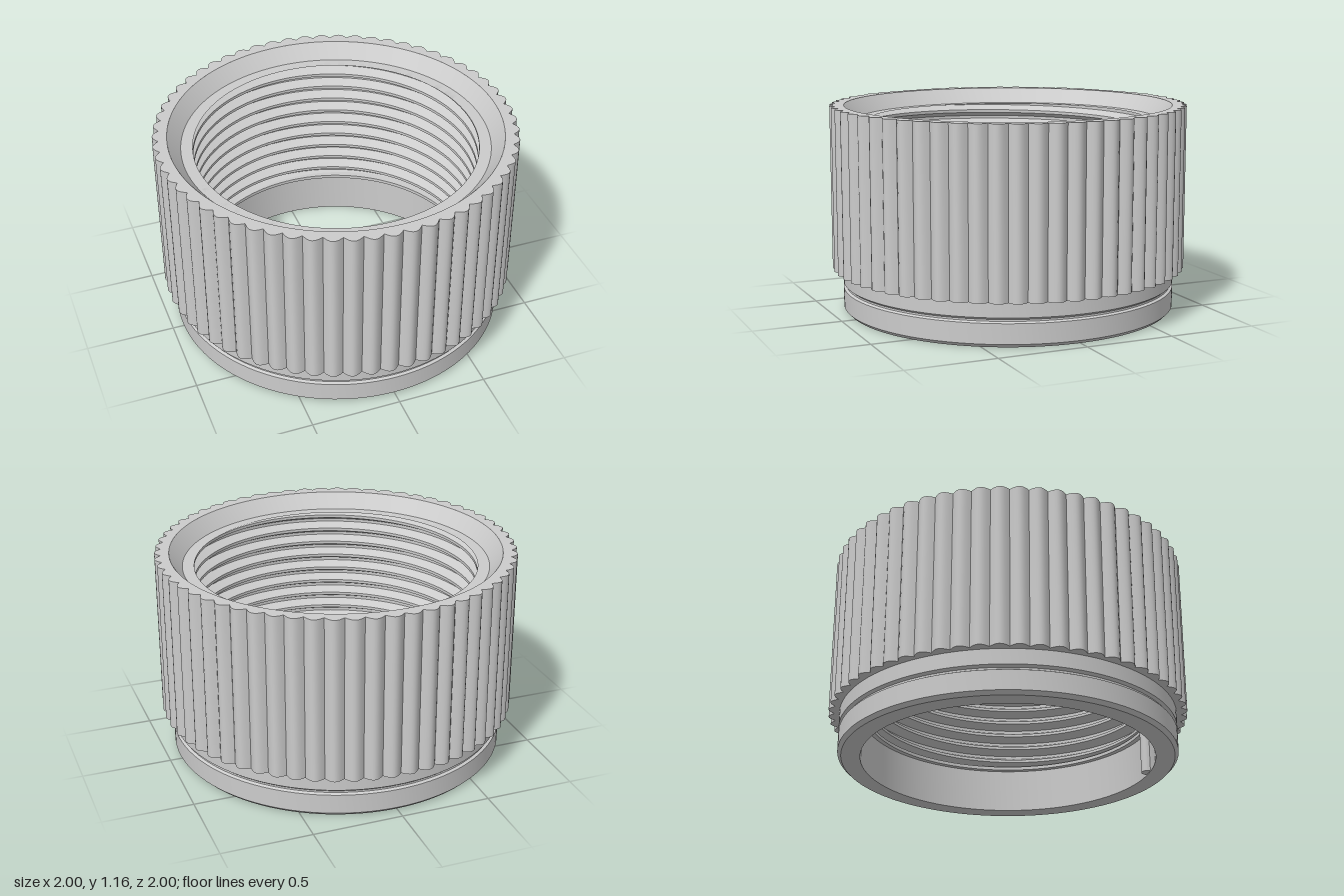
import * as THREE from 'three';
import { toCreasedNormals } from 'three/addons/utils/BufferGeometryUtils.js';

const SEGMENTS = 120;
const material = new THREE.MeshStandardMaterial({ color: 0xcccccc });
const thinMaterial = new THREE.MeshStandardMaterial({ color: 0xcccccc, side: THREE.DoubleSide });

function addPart(group, name, geometry, mat = material) {
  const mesh = new THREE.Mesh(toCreasedNormals(geometry, 0.5), mat);
  mesh.name = name;
  group.add(mesh);
  return mesh;
}

// Turned surface from [radius, height] pairs
function turned(pairs) {
  return new THREE.LatheGeometry(pairs.map(([r, y]) => new THREE.Vector2(r, y)), SEGMENTS);
}

// Outer sleeve with rounded vertical grip ribs
function ribbedSleeve(ribs, bottom, top) {
  const steps = 8, points = [];
  for (let i = 0; i < ribs * steps; i++) {
    const a = (i / (ribs * steps)) * Math.PI * 2;
    const r = 0.967 + 0.033 * Math.abs(Math.sin(a * ribs / 2));
    points.push(new THREE.Vector2(r * Math.cos(a), r * Math.sin(a)));
  }
  const shape = new THREE.Shape(points);
  const hole = new THREE.Path();
  hole.absarc(0, 0, 0.92, 0, Math.PI * 2, true);
  shape.holes.push(hole);
  const geometry = new THREE.ExtrudeGeometry(shape, {
    depth: top - bottom, bevelEnabled: false, curveSegments: SEGMENTS,
  });
  return geometry.rotateX(-Math.PI / 2).translate(0, bottom, 0);
}

// Helical internal thread: a trapezoid profile swept round, trimmed at both ends
function internalThread(bottom, top, pitch) {
  const root = 0.84, crest = 0.785;
  const profile = [[0, root], [0.2, root], [0.5, crest], [0.7, crest]];
  const turns = Math.ceil((top - bottom) / pitch) + 1;
  const rows = [];
  for (let t = -1; t < turns; t++) {
    for (const [f, r] of profile) rows.push([bottom + (t + f) * pitch, r]);
  }
  const positions = [], index = [];
  const width = rows.length;
  for (let s = 0; s <= SEGMENTS; s++) {
    const a = (s / SEGMENTS) * Math.PI * 2;
    for (const [y, r] of rows) {
      const h = THREE.MathUtils.clamp(y + pitch * s / SEGMENTS, bottom, top);
      positions.push(r * Math.cos(a), h, -r * Math.sin(a));
    }
  }
  for (let s = 0; s < SEGMENTS; s++) {
    for (let j = 0; j < width - 1; j++) {
      const p = s * width + j, q = p + width;
      index.push(p, p + 1, q, q, p + 1, q + 1);
    }
  }
  const geometry = new THREE.BufferGeometry();
  geometry.setAttribute('position', new THREE.Float32BufferAttribute(positions, 3));
  geometry.setIndex(index);
  return geometry;
}

export function createModel() {
  const group = new THREE.Group();
  group.name = 'threadedCollar';

  addPart(group, 'ribbedSleeve', ribbedSleeve(60, 0.245, 1.16));

  // Smooth neck with a groove and chamfered foot
  addPart(group, 'neck', turned([
    [0.815, 0], [0.92, 0], [0.94, 0.02], [0.94, 0.13], [0.925, 0.138],
    [0.925, 0.148], [0.94, 0.16], [0.94, 0.25],
  ]));

  // Sloping mouth at the top opening
  addPart(group, 'mouthChamfer', turned([[0.835, 1.075], [0.85, 1.075], [0.92, 1.16]].reverse()));

  addPart(group, 'internalThread', internalThread(0.26, 1.075, 0.085), thinMaterial);

  // Plain lower bore with the lip below the thread
  addPart(group, 'lowerBore', turned([
    [0.84, 0.27], [0.785, 0.27], [0.785, 0.25], [0.815, 0.25], [0.815, 0],
  ]));

  // Small upright key on the bore wall
  const key = addPart(group, 'boreKey', new THREE.CylinderGeometry(0.035, 0.035, 0.25, 24));
  key.position.set(0, 0.13, 0.808);

  return group;
}
